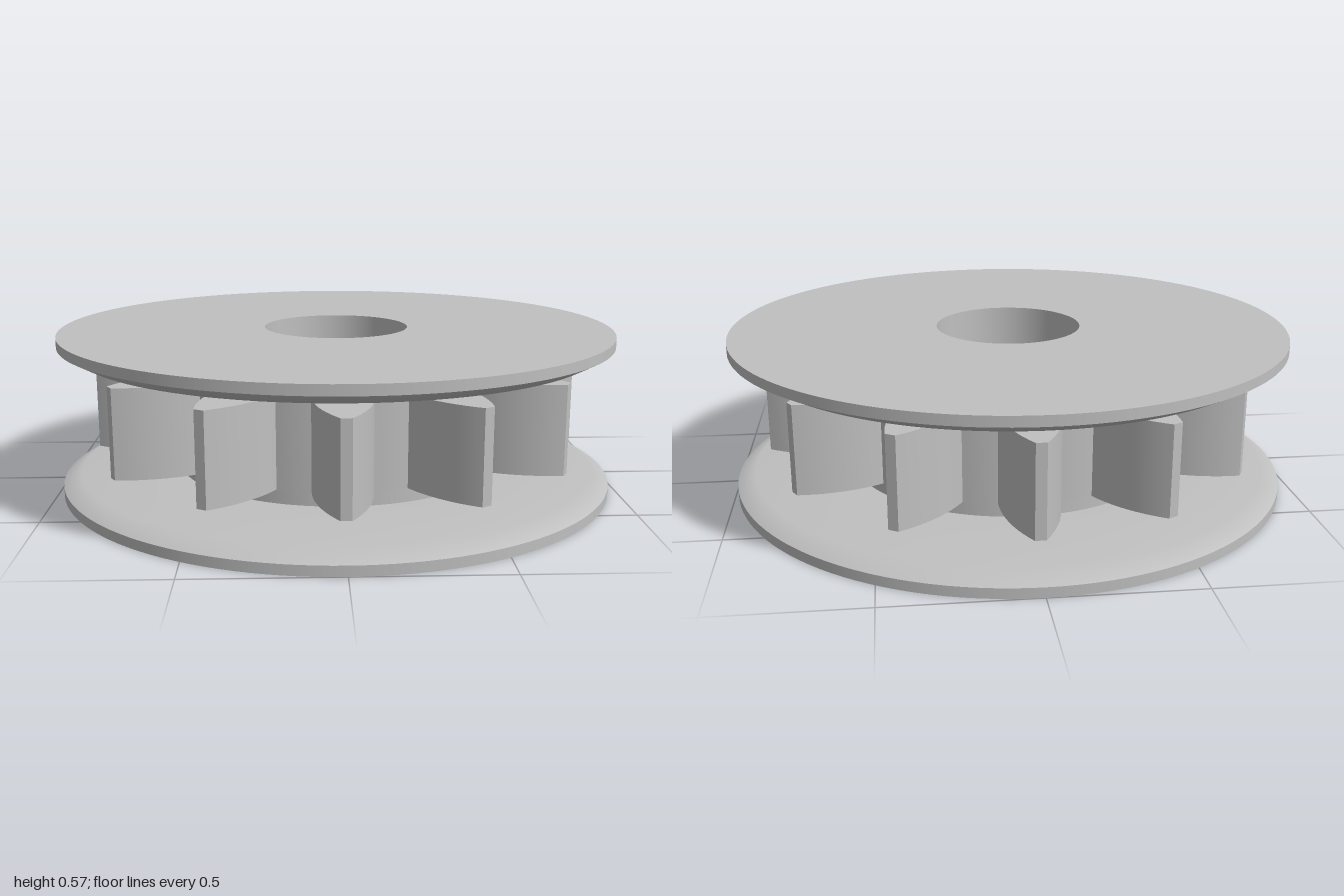
import * as THREE from 'three';
import { toCreasedNormals } from 'three/addons/utils/BufferGeometryUtils.js';

const BORE = 0.26, HUB = 0.58, RIM = 1, HEIGHT = 0.57;
const TEETH = 12, BASE_R = 0.6, BASE_W = 0.1, TIP_R = 0.88, TIP_W = 0.018;

// Outline of the toothed wheel: convex flanks meeting in a narrow flat tip
function wheelShape() {
  const pts = [];
  const dx = BASE_W - TIP_W, dy = TIP_R - BASE_R;
  const R = (dx * dx + dy * dy) / (2 * dx);
  const sweep = Math.asin(dy / R), steps = 10;
  const rootR = Math.hypot(BASE_R, BASE_W), rootA = Math.atan2(BASE_W, BASE_R);
  const pitch = (Math.PI * 2) / TEETH;
  for (let i = 0; i < TEETH; i++) {
    const a = i * pitch, c = Math.cos(a), s = Math.sin(a);
    const add = (r, t) => pts.push(new THREE.Vector2(r * c - t * s, r * s + t * c));
    const flank = (k, side) => {
      const u = (sweep * k) / steps;
      add(BASE_R + R * Math.sin(u), side * (BASE_W - R * (1 - Math.cos(u))));
    };
    for (let k = 0; k <= steps; k++) flank(k, -1);
    for (let k = steps; k >= 0; k--) flank(k, 1);
    // root arc to the next tooth
    for (let k = 1; k < 5; k++) {
      const b = a + rootA + ((pitch - 2 * rootA) * k) / 5;
      pts.push(new THREE.Vector2(rootR * Math.cos(b), rootR * Math.sin(b)));
    }
  }
  const shape = new THREE.Shape(pts);
  shape.holes.push(new THREE.Path().absarc(0, 0, 0.5, 0, Math.PI * 2, true));
  return shape;
}

export function createModel() {
  const group = new THREE.Group();
  const grey = new THREE.MeshStandardMaterial({ color: 0xc0c0c0 });
  grey.name = 'grey';

  // Each run of profile points is one smooth surface; edges between runs stay sharp
  const turned = (name, runs) => {
    const part = new THREE.Group();
    part.name = name;
    for (const run of runs) {
      const pts = run.map(([r, y]) => new THREE.Vector2(r, y));
      const mesh = new THREE.Mesh(new THREE.LatheGeometry(pts, 128), grey);
      mesh.name = name + 'Surface';
      part.add(mesh);
    }
    group.add(part);
  };

  // Flanges with a bevelled inner rim
  const lower = [
    [[BORE, 0], [RIM, 0]],
    [[RIM, 0], [RIM, 0.035]],
    [[RIM, 0.035], [0.935, 0.07], [HUB, 0.07]],
  ];
  const upper = lower.map((run) => run.map(([r, y]) => [r, HEIGHT - y]).reverse());
  turned('lowerFlange', lower);
  turned('upperFlange', upper);

  // Hub and through bore
  turned('hub', [[[HUB, 0.07], [HUB, HEIGHT - 0.07]]]);
  turned('bore', [[[BORE, HEIGHT], [BORE, 0]]]);

  // Toothed wheel
  const geo = new THREE.ExtrudeGeometry(wheelShape(), { depth: 0.315, bevelEnabled: false, curveSegments: 48 });
  geo.rotateX(-Math.PI / 2).translate(0, 0.1275, 0);
  const wheel = new THREE.Mesh(toCreasedNormals(geo, 0.4), grey);
  wheel.name = 'toothedWheel';
  group.add(wheel);

  return group;
}
